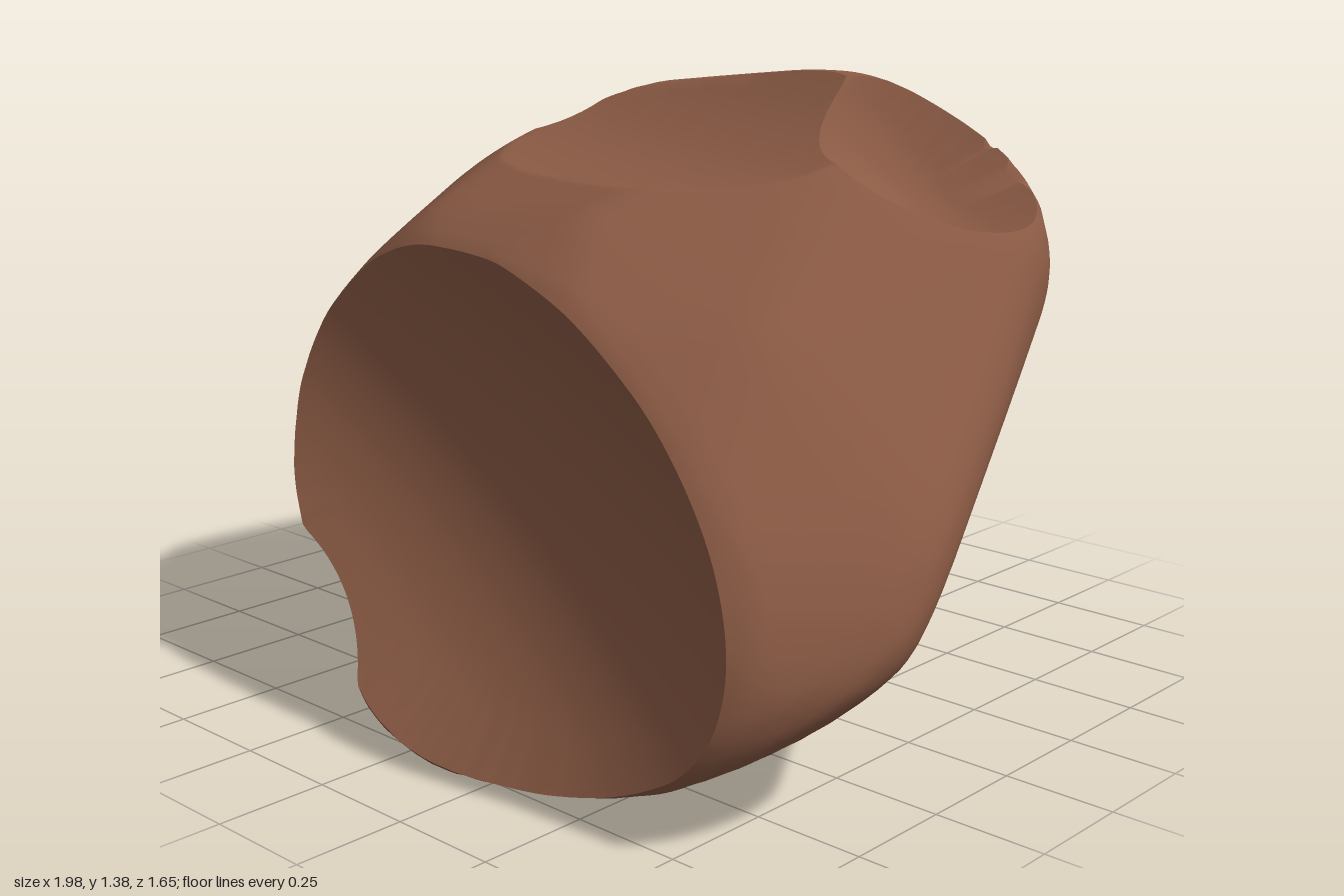
import * as THREE from 'three';
import { mergeVertices, toCreasedNormals } from 'three/addons/utils/BufferGeometryUtils.js';
import { ConvexGeometry } from 'three/addons/geometries/ConvexGeometry.js';

const V = (x, y, z) => new THREE.Vector3(x, y, z);
const CORE = V(0, 0.66, -0.05);

// Dish: rim centre, outward normal, long axis, half sizes, depth,
// and how far the rim sags back at the ends of the long axis
function dish(centre, normal, axis, a, b, depth, sag = 0) {
  const w = normal.normalize();
  const u = axis.addScaledVector(w, -axis.dot(w)).normalize();
  const reach = a * Math.sqrt(depth / (depth - sag));
  return { centre, w, u, v: w.clone().cross(u), a, b, depth, sag, reach };
}

const SOCKETS = [
  dish(V(0.08, 0.525, 0.645), V(-0.04, 0.337, 1), V(0.9, -0.43, 0), 0.8, 0.48, 0.18, 0.075), // large front
  dish(V(-0.745, 1.01, -0.3), V(-0.73, 0.68, -0.03), V(0.59, 0.63, -0.5), 0.42, 0.28, 0.13), // right side
  dish(V(0.45, 1.22, -0.435), V(0.47, 0.86, 0.12), V(0, 0, 1), 0.26, 0.3, 0.13), // top left
  dish(V(0.43, 0.56, -0.6), V(0.75, -0.4, -0.53), V(0, 1, 0), 0.36, 0.28, 0.11), // back left
  dish(V(-0.2, 0.64, -0.65), V(-0.45, -0.26, -0.85), V(0.3, 0.67, -0.3), 0.37, 0.32, 0.13), // back right
];

// Shallow valleys in the body: before the top ridge and along the underside
const VALLEYS = [
  dish(V(-0.05, 1.28, -0.15), V(0, 0.96, 0.29), V(1, 0, 0), 0.85, 0.37, 0.085),
  dish(V(-0.4, 0.27, 0.1), V(-0.5, -0.86, 0), V(0, 0, 1), 0.95, 0.44, 0.075),
];
const CUTS = [...SOCKETS, ...VALLEYS];

// Points that round out the body between the sockets
const BULGES = [
  V(1, 0.35, 0.34), V(0.97, 0.55, 0.2), V(0.88, 0.22, 0.5), V(0.82, 0.87, -0.2),
  V(0.73, 1.06, -0.45), V(0.7, 0.93, -0.57), V(0.2, 1.37, -0.58), V(0, 1.38, -0.57),
  V(-0.45, 1.33, -0.53), V(0.4, 0.87, -0.82), V(0.2, 0.85, -0.82), V(0.2, 1.1, -0.75),
  V(0.42, 1.14, -0.72), V(0.2, 1.28, -0.68), V(-0.4, 1.08, 0.3), V(0.1, 1.11, 0.3),
  V(0.6, 0.93, 0.3), V(0, 0.16, -0.1), V(0.3, 0.1, 0.3), V(0.5, 0.2, -0.2),
  V(0.1, 0, 0.81), V(-0.06, 0.04, 0.79), V(0.67, 0.11, 0.72), V(-0.86, 0.52, -0.1),
  V(-0.98, 0.7, -0.1),
];

// Flat faces of the hull, as normals scaled by their distance from the core
function hullPlanes() {
  const points = BULGES.map((p) => p.clone().sub(CORE).multiplyScalar(1.03).add(CORE));
  for (const s of SOCKETS) {
    for (let i = 0; i < 16; i++) {
      const c = Math.cos((i / 8) * Math.PI), n = Math.sin((i / 8) * Math.PI);
      points.push(s.centre.clone()
        .addScaledVector(s.u, s.a * c)
        .addScaledVector(s.v, s.b * n)
        .addScaledVector(s.w, 0.02 - s.sag * c * c));
    }
  }
  const pos = new ConvexGeometry(points).getAttribute('position');
  const planes = [];
  const tri = new THREE.Triangle();
  for (let i = 0; i < pos.count; i += 3) {
    tri.setFromAttributeAndIndices(pos, i, i + 1, i + 2);
    if (tri.getArea() < 1e-6) continue;
    const n = tri.getNormal(V(0, 0, 0));
    planes.push(n.divideScalar(tri.a.clone().sub(CORE).dot(n)));
  }
  return planes;
}

function hullRadius(planes, d) {
  let most = 0;
  for (const n of planes) most = Math.max(most, n.x * d.x + n.y * d.y + n.z * d.z);
  return 1 / most;
}

// Hull distance averaged over a small cone, which rounds the facets
function bodyRadius(planes, d) {
  const side = V(0.31, 0.87, 0.39).cross(d).normalize();
  const up = d.clone().cross(side);
  let sum = hullRadius(planes, d);
  for (let i = 0; i < 10; i++) {
    const t = (i / 10) * Math.PI * 2;
    const r = i % 2 ? 0.05 : 0.1;
    sum += hullRadius(planes, d.clone()
      .addScaledVector(side, r * Math.cos(t))
      .addScaledVector(up, r * Math.sin(t)).normalize());
  }
  return sum / 11;
}

// Distance from the core to a dish's paraboloid
function dishRadius(s, d) {
  const o = CORE.clone().sub(s.centre);
  const u0 = o.dot(s.u) / s.reach, v0 = o.dot(s.v) / s.b;
  const ud = d.dot(s.u) / s.reach, vd = d.dot(s.v) / s.b;
  const A = -s.depth * (ud * ud + vd * vd);
  const B = d.dot(s.w) - 2 * s.depth * (u0 * ud + v0 * vd);
  const K = o.dot(s.w) + s.depth * (1 - u0 * u0 - v0 * v0);
  const disc = B * B - 4 * A * K;
  return B > 0 && disc > 0 ? (-2 * K) / (B + Math.sqrt(disc)) : Infinity;
}

// Surface distance along d, and which surface is met there
function sample(planes, d) {
  const hit = { r: bodyRadius(planes, d), id: -1 };
  CUTS.forEach((s, id) => {
    const r = dishRadius(s, d);
    if (r < hit.r) Object.assign(hit, { r, id });
  });
  return hit;
}

// Slide the directions beside each rim onto it, so that edges run clean
function snapToRims(dirs, hits, index, planes) {
  const snapped = new Map();
  for (let i = 0; i < index.count; i++) {
    const a = index.getX(i), b = index.getX(i % 3 === 2 ? i - 2 : i + 1);
    if (a > b || hits[a].id === hits[b].id) continue;
    let lo = 0, hi = 1;
    for (let k = 0; k < 9; k++) {
      const t = (lo + hi) / 2;
      const id = sample(planes, dirs[a].clone().lerp(dirs[b], t).normalize()).id;
      if (id === hits[a].id) lo = t; else hi = t;
    }
    const move = Math.min(lo, 1 - lo);
    const near = lo < 0.5 ? a : b;
    if (!snapped.has(near) || move < snapped.get(near).move) {
      snapped.set(near, { move, dir: dirs[a].clone().lerp(dirs[b], lo).normalize() });
    }
  }
  for (const [i, { dir }] of snapped) {
    dirs[i] = dir;
    hits[i] = sample(planes, dir);
  }
}

export function createModel() {
  const group = new THREE.Group();
  const planes = hullPlanes();

  // Body: a fine sphere pushed out to the rounded hull and cut by the dishes
  let geo = new THREE.IcosahedronGeometry(1, 56);
  geo.deleteAttribute('uv');
  geo.deleteAttribute('normal');
  geo = mergeVertices(geo, 1e-5);
  const pos = geo.getAttribute('position');
  const dirs = Array.from({ length: pos.count }, (_, i) => V(0, 0, 0).fromBufferAttribute(pos, i).normalize());
  const hits = dirs.map((d) => sample(planes, d));
  snapToRims(dirs, hits, geo.index, planes);
  dirs.forEach((d, i) => {
    const p = d.clone().multiplyScalar(hits[i].r).add(CORE);
    pos.setXYZ(i, p.x, p.y, p.z);
  });

  // Stand on the ground, centred
  geo.computeBoundingBox();
  const mid = geo.boundingBox.getCenter(V(0, 0, 0));
  geo.translate(-mid.x, -geo.boundingBox.min.y, -mid.z);

  const body = new THREE.Mesh(
    toCreasedNormals(geo, 0.6),
    new THREE.MeshStandardMaterial({ color: 0x8a5a44 })
  );
  body.name = 'socketedBody';
  group.add(body);
  return group;
}
